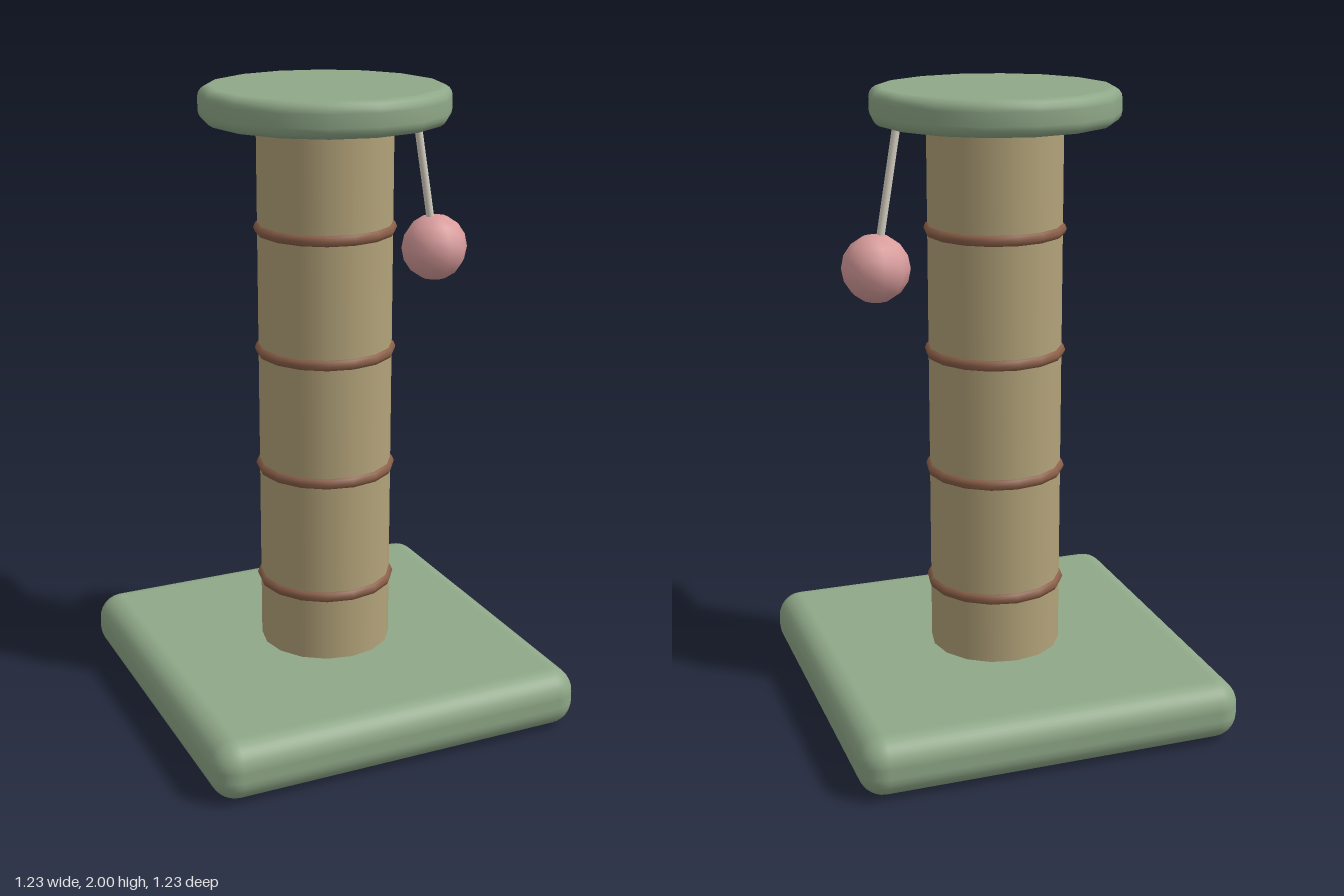
import * as THREE from 'three';
import { RoundedBoxGeometry } from 'three/addons/geometries/RoundedBoxGeometry.js';

const material = (color) => new THREE.MeshStandardMaterial({ color });

export function createModel() {
  const model = new THREE.Group();
  model.name = 'scratchingPost';
  const plush = material(0x8fa888);
  const sisal = material(0xb3a37a);
  const rope = material(0x8a5f48);
  const cord = material(0xd8d2c4);
  const pink = material(0xd99c9c);

  const add = (name, geometry, mat, x = 0, y = 0, z = 0) => {
    const mesh = new THREE.Mesh(geometry, mat);
    mesh.name = name;
    mesh.position.set(x, y, z);
    model.add(mesh);
    return mesh;
  };

  // Soft square base
  add('base', new RoundedBoxGeometry(1.23, 0.19, 1.23, 4, 0.08), plush, 0, 0.098);

  // Post
  const bottom = 0.15, top = 1.93;
  add('post', new THREE.CylinderGeometry(0.21, 0.21, top - bottom, 16), sisal, 0, (bottom + top) / 2);

  // Rope bands, evenly spaced up the post
  const band = new THREE.TorusGeometry(0.202, 0.02, 8, 16).rotateX(Math.PI / 2);
  for (let i = 0; i < 4; i++) add('ropeBand' + (i + 1), band, rope, 0, 0.41 + i * 0.385);

  // Round perch with a rounded rim
  const radius = 0.384, low = 1.89, high = 2, round = 0.035;
  const profile = [new THREE.Vector2(0, low)];
  const addCorner = (y, start) => {
    for (let i = 0; i <= 4; i++) {
      const a = start + (i / 4) * (Math.PI / 2);
      profile.push(new THREE.Vector2(radius - round + round * Math.cos(a), y + round * Math.sin(a)));
    }
  };
  addCorner(low + round, -Math.PI / 2);
  addCorner(high - round, 0);
  profile.push(new THREE.Vector2(0, high));
  add('perch', new THREE.LatheGeometry(profile, 16), plush);

  // Cord hanging from the perch to the ball
  const from = new THREE.Vector3(0.305, 1.92, 0);
  const ball = new THREE.Vector3(0.382, 1.465, 0);
  const span = ball.clone().sub(from);
  const string = add('cord', new THREE.CylinderGeometry(0.013, 0.013, span.length(), 8), cord);
  string.position.copy(from).addScaledVector(span, 0.5);
  string.quaternion.setFromUnitVectors(new THREE.Vector3(0, -1, 0), span.normalize());

  // Hanging toy ball
  const ballGeometry = new THREE.SphereGeometry(0.106, 10, 8).rotateY(Math.PI / 2);
  add('toyBall', ballGeometry, pink, ball.x, ball.y, ball.z);

  return model;
}
